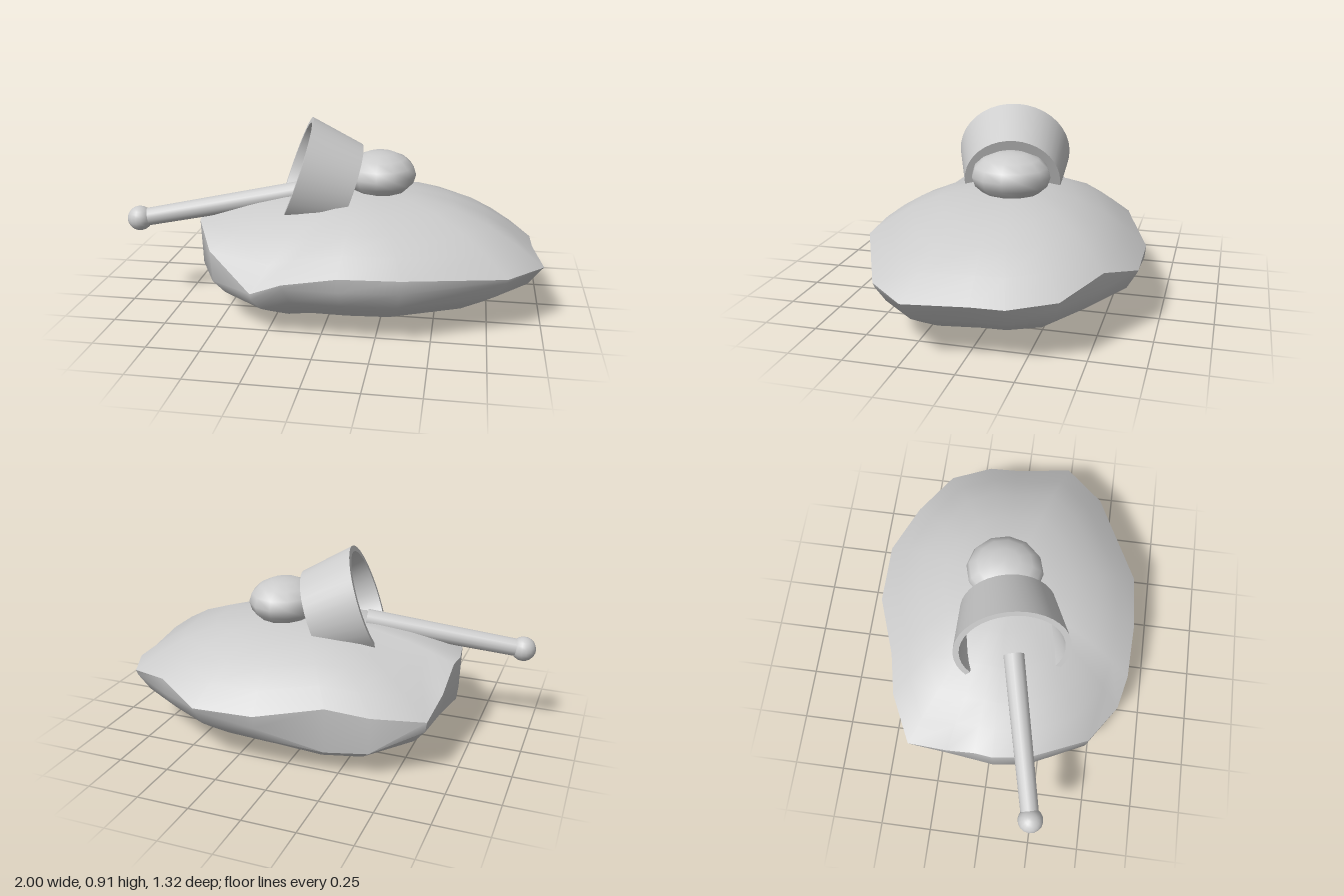
import * as THREE from 'three';
import { toCreasedNormals } from 'three/addons/utils/BufferGeometryUtils.js';

const grey = new THREE.MeshStandardMaterial({ color: 0xcccccc, side: THREE.DoubleSide });
grey.name = 'stone grey';

function mesh(name, geometry) {
  const m = new THREE.Mesh(geometry, grey);
  m.name = name;
  return m;
}

// Boulder rim: x, z, height of the upper lip, height of the lower lip
const RIM = [
  [1, 0.23, 0.285, 0.275], [0.96, -0.05, 0.285, 0.275], [0.955, -0.2, 0.285, 0.275],
  [0.86, -0.4, 0.3, 0.275], [0.62, -0.54, 0.35, 0.27], [0.4, -0.66, 0.29, 0.275],
  [0.1, -0.66, 0.3, 0.24], [-0.2, -0.55, 0.34, 0.12], [-0.4, -0.51, 0.31, 0.13],
  [-0.63, -0.4, 0.28, 0.23], [-0.65, -0.2, 0.33, 0.23], [-0.665, -0.06, 0.43, 0.22],
  [-0.675, 0.03, 0.43, 0.21], [-0.65, 0.2, 0.42, 0.2], [-0.52, 0.48, 0.37, 0.22],
  [-0.3, 0.62, 0.23, 0.2], [-0.15, 0.65, 0.295, 0.275], [0.1, 0.655, 0.34, 0.275],
  [0.37, 0.635, 0.34, 0.275], [0.83, 0.42, 0.29, 0.27],
];
// Radial scale and how far the ring has moved from the lip to the crown / base
const TOP = [[0, 1], [0.15, 0.98], [0.3, 0.94], [0.5, 0.81], [0.7, 0.58], [0.85, 0.32], [1, 0]];
const BASE = [[0.99, 0], [0.92, 0.3], [0.83, 0.47], [0.7, 0.7], [0.5, 0.88], [0.25, 0.98], [0, 1]];

function boulderGeometry() {
  const cx = 0.15, crown = 0.565, n = RIM.length;
  const rings = [
    ...TOP.map(([s, k]) => RIM.map(([x, z, up]) => [cx + (x - cx) * s, up + (crown - up) * k, z * s])),
    ...BASE.map(([s, k]) => RIM.map(([x, z, , low]) => [cx + (x - cx) * s, low * (1 - k), z * s])),
  ];
  const index = [];
  const last = rings.length - 2;
  for (let i = 0; i <= last; i++) {
    for (let j = 0; j < n; j++) {
      const k = (j + 1) % n;
      const a = i * n + j, b = a + n, d = i * n + k, c = d + n;
      if (i > 0) index.push(a, b, d);
      if (i < last) index.push(b, c, d);
    }
  }
  const g = new THREE.BufferGeometry();
  g.setAttribute('position', new THREE.Float32BufferAttribute(rings.flat(2), 3));
  g.setIndex(index);
  return toCreasedNormals(g, 0.8);
}

// Partly open cup: axis along y, the gap on the underside
function cup() {
  const group = new THREE.Group();
  group.name = 'cup';
  const start = THREE.MathUtils.degToRad(-136);
  const end = THREE.MathUtils.degToRad(125);
  const profile = [[0, 0], [0.235, 0], [0.281, 0.27], [0.252, 0.27], [0.205, 0.03], [0, 0.03]]
    .map(([r, y]) => new THREE.Vector2(r, y));
  const shell = new THREE.LatheGeometry(profile, 28, start, end - start);
  group.add(mesh('cupShell', toCreasedNormals(shell, 0.6)));
  for (const angle of [start, end]) {
    const edge = mesh('cupCutEdge', new THREE.ShapeGeometry(new THREE.Shape(profile)));
    edge.rotation.y = angle - Math.PI / 2;
    group.add(edge);
  }
  // Lean the axis towards the handle
  const axis = new THREE.Vector3(-0.91, 0.335, 0.19).normalize();
  const up = new THREE.Vector3(0, 1, 0).addScaledVector(axis, -axis.y).normalize();
  const across = new THREE.Vector3().crossVectors(axis, up);
  group.quaternion.setFromRotationMatrix(new THREE.Matrix4().makeBasis(across, axis, up));
  group.position.set(0.045, 0.555, 0.012);
  return group;
}

// Tapered rod with a round knob at its far end
function handle() {
  const group = new THREE.Group();
  group.name = 'handle';
  const from = new THREE.Vector3(-0.19, 0.547, 0.07);
  const to = new THREE.Vector3(-0.94, 0.43, 0.245);
  const dir = to.clone().sub(from);
  const rod = mesh('rod', new THREE.CylinderGeometry(0.043, 0.051, dir.length(), 16));
  rod.position.copy(from).add(to).multiplyScalar(0.5);
  rod.quaternion.setFromUnitVectors(new THREE.Vector3(0, 1, 0), dir.normalize());
  const knob = mesh('knob', new THREE.SphereGeometry(0.06, 16, 12));
  knob.position.copy(to);
  group.add(rod, knob);
  return group;
}

export function createModel() {
  const model = new THREE.Group();
  model.name = 'boulderWithCup';
  model.add(mesh('boulder', boulderGeometry()), cup(), handle());

  // Small rounded stone behind the cup
  const pebble = mesh('pebble', new THREE.SphereGeometry(1, 12, 8));
  pebble.scale.set(0.175, 0.113, 0.19);
  pebble.position.set(0.207, 0.632, -0.025);
  model.add(pebble);
  return model;
}
